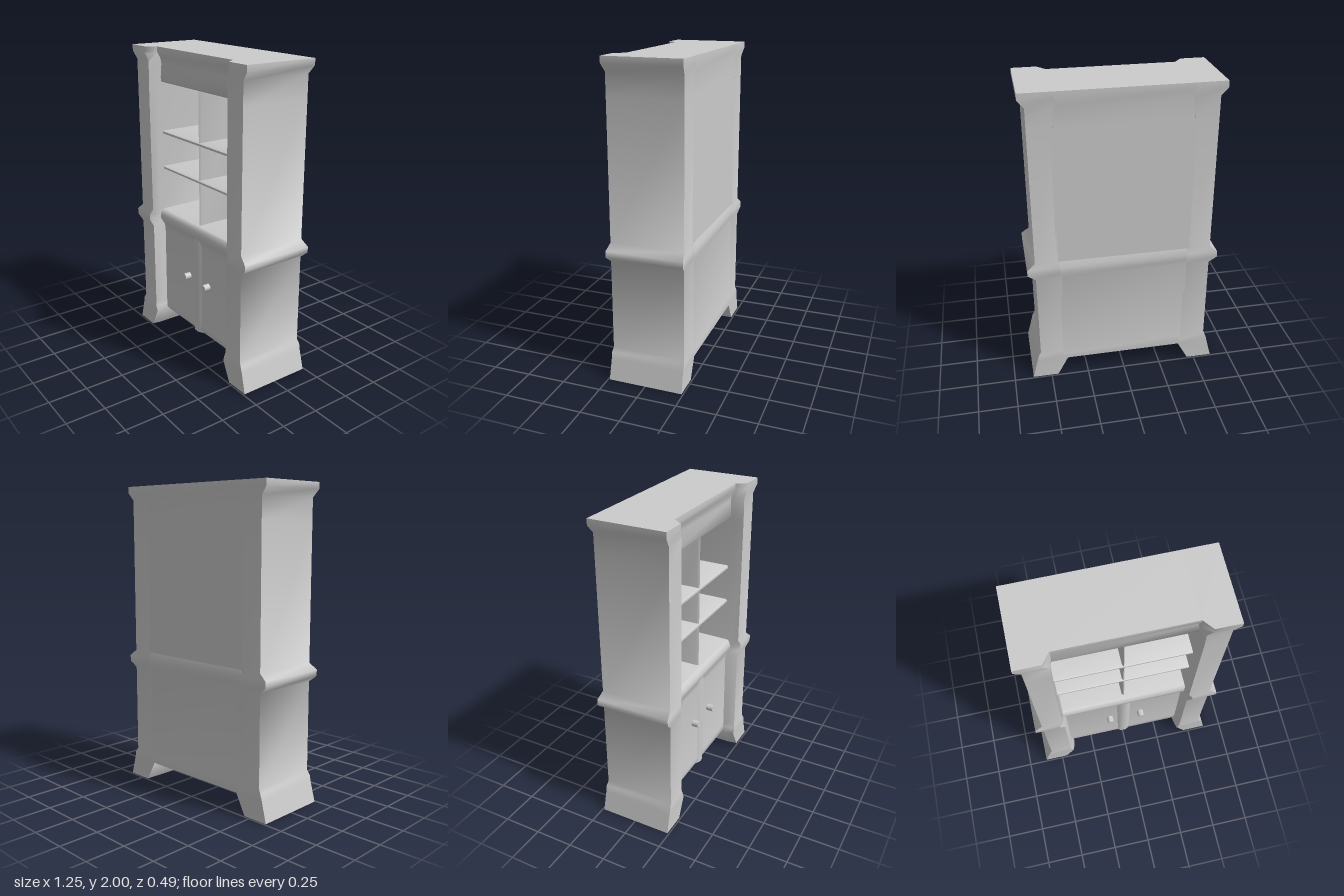
import * as THREE from 'three';
import { toCreasedNormals } from 'three/addons/utils/BufferGeometryUtils.js';

const material = new THREE.MeshStandardMaterial({ color: 0xcccccc });
const CREASE = 0.95;

function add(group, name, geometry) {
  const mesh = new THREE.Mesh(geometry, material);
  mesh.name = name;
  group.add(mesh);
  return mesh;
}

// Closed solid through stacked rings of [x, y, z] points, with flat caps
function loft(rings) {
  const n = rings[0].length, last = (rings.length - 1) * n, index = [];
  for (let i = 0; i < rings.length - 1; i++) {
    for (let j = 0; j < n; j++) {
      const a = i * n + j, b = i * n + (j + 1) % n;
      index.push(a, b, b + n, a, b + n, a + n);
    }
  }
  for (let k = 1; k < n - 1; k++) {
    index.push(0, k + 1, k, last, last + k, last + k + 1);
  }
  const geometry = new THREE.BufferGeometry();
  geometry.setAttribute('position', new THREE.Float32BufferAttribute(rings.flat(2), 3));
  geometry.setIndex(index);
  return toCreasedNormals(geometry, CREASE);
}

// Side profile of [z, y] points swept across the width
function sweepAcross(profile, width) {
  const shape = new THREE.Shape(profile.map(([z, y]) => new THREE.Vector2(z, y)));
  const geometry = new THREE.ExtrudeGeometry(shape, { depth: width, bevelEnabled: false });
  geometry.translate(0, 0, -width / 2).rotateY(-Math.PI / 2);
  return toCreasedNormals(geometry, CREASE);
}

function box(x, y, z, w, h, d) {
  return new THREE.BoxGeometry(w, h, d).translate(x, y, z);
}

// Column rows: y, outer half width, half depth, inner x at front, inner x at recess
const columnRows = [
  [0, 0.625, 0.24, 0.465, 0.455],
  [0.13, 0.592, 0.238, 0.4, 0.385],
  [0.17, 0.582, 0.24, 0.415, 0.395],
  [0.2, 0.565, 0.234, 0.42, 0.4],
  [0.78, 0.565, 0.234, 0.42, 0.4],
  [0.82, 0.615, 0.245, 0.45, 0.41],
  [0.86, 0.615, 0.245, 0.45, 0.41],
  [0.9, 0.565, 0.234, 0.425, 0.42],
  [1.77, 0.565, 0.234, 0.425, 0.42],
  [1.91, 0.565, 0.234, 0.42, 0.4],
  [1.96, 0.605, 0.243, 0.45, 0.4],
  [2, 0.605, 0.243, 0.45, 0.4],
];

function columnGeometry(side) {
  return loft(columnRows.map(([y, w, d, front, recess]) => {
    const ring = [[recess, 0.18], [front, d], [w, d], [w, -d], [recess, -d]]
      .map(([x, z]) => [x * side, y, z]);
    return side < 0 ? ring.reverse() : ring;
  }));
}

export function createModel() {
  const hutch = new THREE.Group();
  hutch.name = 'hutch';

  // Side columns with splayed feet, waist moulding and cornice
  add(hutch, 'leftColumn', columnGeometry(1));
  add(hutch, 'rightColumn', columnGeometry(-1));

  // Lower cupboard with the waist moulding front and back
  add(hutch, 'lowerCabinet', sweepAcross([
    [-0.238, 0.13], [0.145, 0.13], [0.16, 0.15], [0.155, 0.19], [0.152, 0.75],
    [0.158, 0.79], [0.18, 0.83], [0.18, 0.86], [0.165, 0.89], [0.15, 0.895],
    [-0.234, 0.9], [-0.245, 0.86], [-0.245, 0.82], [-0.234, 0.78], [-0.234, 0.2], [-0.24, 0.17],
  ], 0.83));

  // Softened stile between the doors
  const stile = [[-0.06, 0.145], [-0.035, 0.158], [-0.018, 0.168], [0.018, 0.168], [0.035, 0.158], [0.06, 0.145]];
  add(hutch, 'doorStile', loft([0.13, 0.83].map((y) => stile.map(([x, z]) => [x, y, z]))));

  // Door knobs
  for (const [name, x] of [['rightKnob', -0.1], ['leftKnob', 0.12]]) {
    const knob = new THREE.CylinderGeometry(0.022, 0.022, 0.05, 20);
    add(hutch, name, knob.rotateX(Math.PI / 2).translate(x, 0.505, 0.172));
  }

  // Frieze and top
  add(hutch, 'frieze', sweepAcross([
    [-0.234, 1.77], [0.14, 1.77], [0.15, 1.78], [0.15, 1.89], [0.16, 1.93], [0.18, 1.965],
    [0.18, 2], [-0.243, 2], [-0.243, 1.96], [-0.234, 1.91],
  ], 0.83));

  // Back panel of the open shelves
  add(hutch, 'backPanel', box(0, 1.335, -0.197, 0.86, 0.89, 0.074));

  // Shelves with a rounded front edge
  [['upperShelf', 1.432], ['lowerShelf', 1.187]].forEach(([name, y]) => {
    add(hutch, name, sweepAcross([
      [-0.17, y - 0.012], [0.13, y - 0.012], [0.141, y - 0.006],
      [0.141, y + 0.006], [0.13, y + 0.012], [-0.17, y + 0.012],
    ], 0.85));
  });

  // Upright divider, flared where it meets the back panel
  const divider = [[-0.03, -0.165], [-0.011, -0.13], [-0.009, 0.125], [0, 0.138], [0.009, 0.125], [0.011, -0.13], [0.03, -0.165]];
  add(hutch, 'shelfDivider', loft([0.885, 1.78].map((y) => divider.map(([x, z]) => [x, y, z]))));

  return hutch;
}
